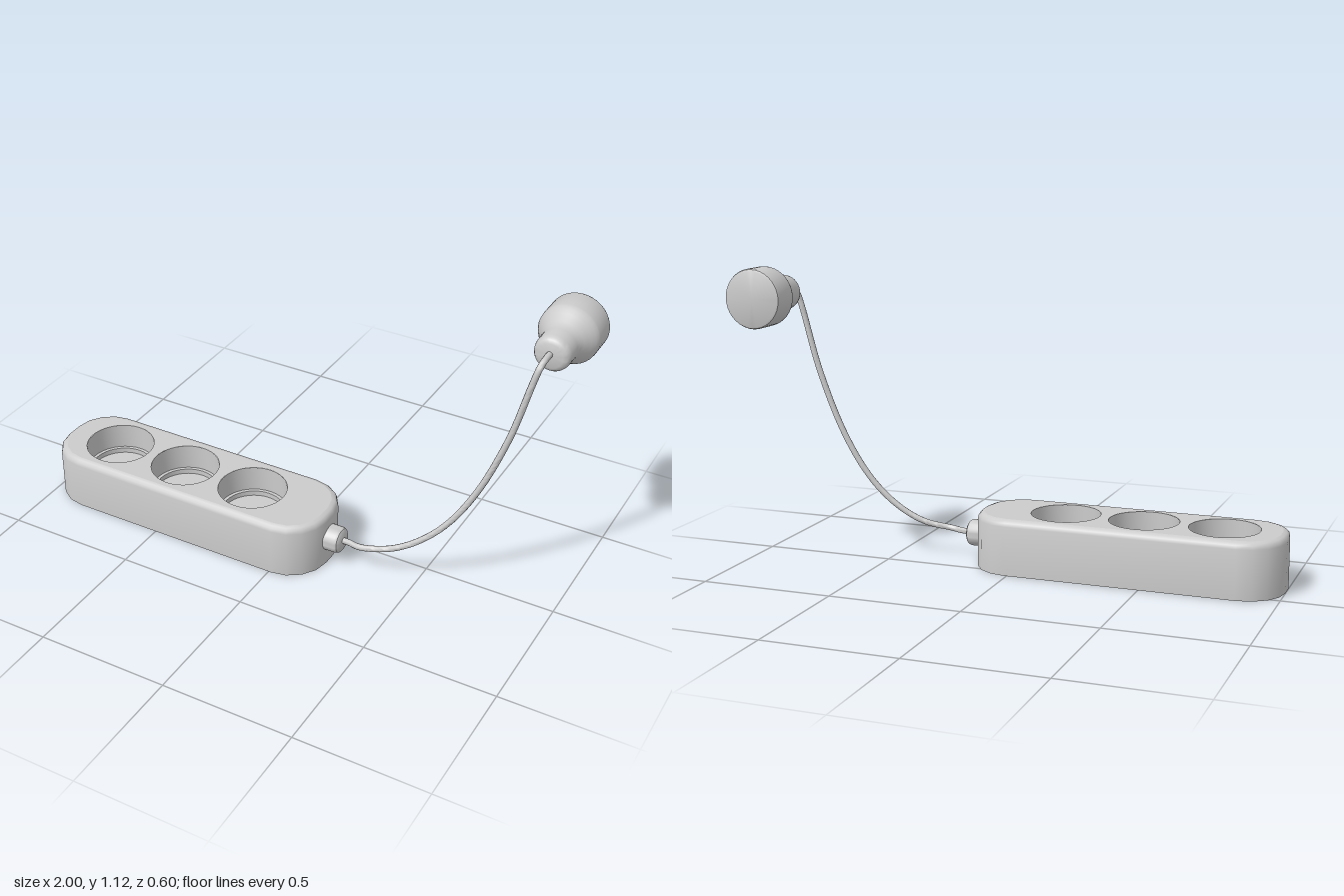
import * as THREE from 'three';
import { toCreasedNormals } from 'three/addons/utils/BufferGeometryUtils.js';

const material = new THREE.MeshStandardMaterial({ color: 0xcccccc });
const WIDTH = 1.16, DEPTH = 0.355, HEIGHT = 0.21, CORNER = 0.15, SEGMENTS = 36;
const SOCKET_X = [-0.35, -0.05, 0.25], SOCKET_R = 0.13;

function addMesh(parent, name, geometry, crease = 0.6) {
  const mesh = new THREE.Mesh(toCreasedNormals(geometry, crease), material);
  mesh.name = name;
  parent.add(mesh);
  return mesh;
}

function lathe(profile) {
  return new THREE.LatheGeometry(profile.map(([r, y]) => new THREE.Vector2(r, y)), SEGMENTS);
}

// Rounded rectangle on the ground plane, shrunk by an inset
function outline(inset, steps = 4) {
  const points = [], r = CORNER - inset;
  for (let c = 0; c < 4; c++) {
    const sx = c === 0 || c === 3 ? 1 : -1, sz = c < 2 ? 1 : -1;
    for (let i = 0; i <= steps; i++) {
      const a = (c + i / steps) * Math.PI / 2;
      points.push(new THREE.Vector2(
        sx * (WIDTH / 2 - CORNER) + r * Math.cos(a),
        sz * (DEPTH / 2 - CORNER) + r * Math.sin(a)));
    }
  }
  return points;
}

// Side walls lofted through [inset, height] rings
function wallGeometry(rings) {
  const positions = [], index = [];
  rings.forEach(([inset, y], j) => {
    const ring = outline(inset), n = ring.length;
    ring.forEach((p, i) => {
      positions.push(p.x, y, p.y);
      if (j === rings.length - 1) return;
      const a = j * n + i, b = j * n + (i + 1) % n;
      index.push(a, a + n, b, a + n, b + n, b);
    });
  });
  const geometry = new THREE.BufferGeometry();
  geometry.setAttribute('position', new THREE.Float32BufferAttribute(positions, 3));
  geometry.setIndex(index);
  return geometry;
}

export function createModel() {
  const model = new THREE.Group();
  model.name = 'extensionCord';

  // Housing: walls with a rounded upper edge, pierced top, flat base
  const body = new THREE.Group();
  body.name = 'powerStrip';
  body.position.set(-0.42, 0, 0.1225);
  model.add(body);
  const bevel = 0.025;
  addMesh(body, 'housingWalls', wallGeometry([
    [0, 0], [0, HEIGHT - bevel], [0.004, HEIGHT - 0.012],
    [0.012, HEIGHT - 0.004], [bevel, HEIGHT]]));

  const top = new THREE.Shape(outline(bevel));
  for (const x of SOCKET_X) {
    top.holes.push(new THREE.Path().absarc(x, 0, SOCKET_R, 0, Math.PI * 2, true));
  }
  addMesh(body, 'housingTop', new THREE.ShapeGeometry(top, SEGMENTS).rotateX(-Math.PI / 2)).position.y = HEIGHT;
  addMesh(body, 'housingBase', new THREE.ShapeGeometry(new THREE.Shape(outline(0))).rotateX(Math.PI / 2));

  // Round socket wells with a narrow ledge above the floor
  SOCKET_X.forEach((x, i) => {
    addMesh(body, `socketWell${i + 1}`, lathe([
      [SOCKET_R, HEIGHT], [SOCKET_R, 0.11], [0.117, 0.11], [0.117, 0.09], [0, 0.09]
    ])).position.x = x;
  });

  // Cable collar on the end of the housing
  const collar = addMesh(model, 'cableCollar', lathe([
    [0, -0.02], [0.05, -0.02], [0.05, 0.04], [0.046, 0.05], [0.037, 0.056], [0, 0.056]
  ]).rotateZ(-Math.PI / 2));
  collar.position.set(0.16, 0.103, 0.1225);

  // Cable sweeping up to the plug
  const path = new THREE.CatmullRomCurve3([
    [0.19, 0.105, 0.122], [0.24, 0.105, 0.122], [0.29, 0.109, 0.132], [0.4, 0.131, 0.113],
    [0.5, 0.188, 0.094], [0.6, 0.287, 0.077], [0.7, 0.45, 0.062], [0.8, 0.7, 0.052],
    [0.865, 0.94, 0.045], [0.88, 0.995, 0.037], [0.885, 1.013, 0.015], [0.885, 1.015, -0.05]
  ].map(p => new THREE.Vector3(...p)));
  addMesh(model, 'cable', new THREE.TubeGeometry(path, 120, 0.0115, 10), 1);

  // Plug: slim grip flaring into a wide, flat-ended head
  const plug = addMesh(model, 'plug', lathe([
    [0, 0.03], [0.045, 0.03], [0.057, 0.036], [0.063, 0.045], [0.066, 0.058],
    [0.066, 0.105], [0.069, 0.122], [0.076, 0.138], [0.093, 0.162], [0.103, 0.178],
    [0.109, 0.19], [0.11, 0.2], [0.11, 0.288], [0.107, 0.295], [0.1, 0.298], [0, 0.298]
  ]).rotateX(-Math.PI / 2));
  plug.position.set(0.888, 1.01, 0);

  return model;
}
